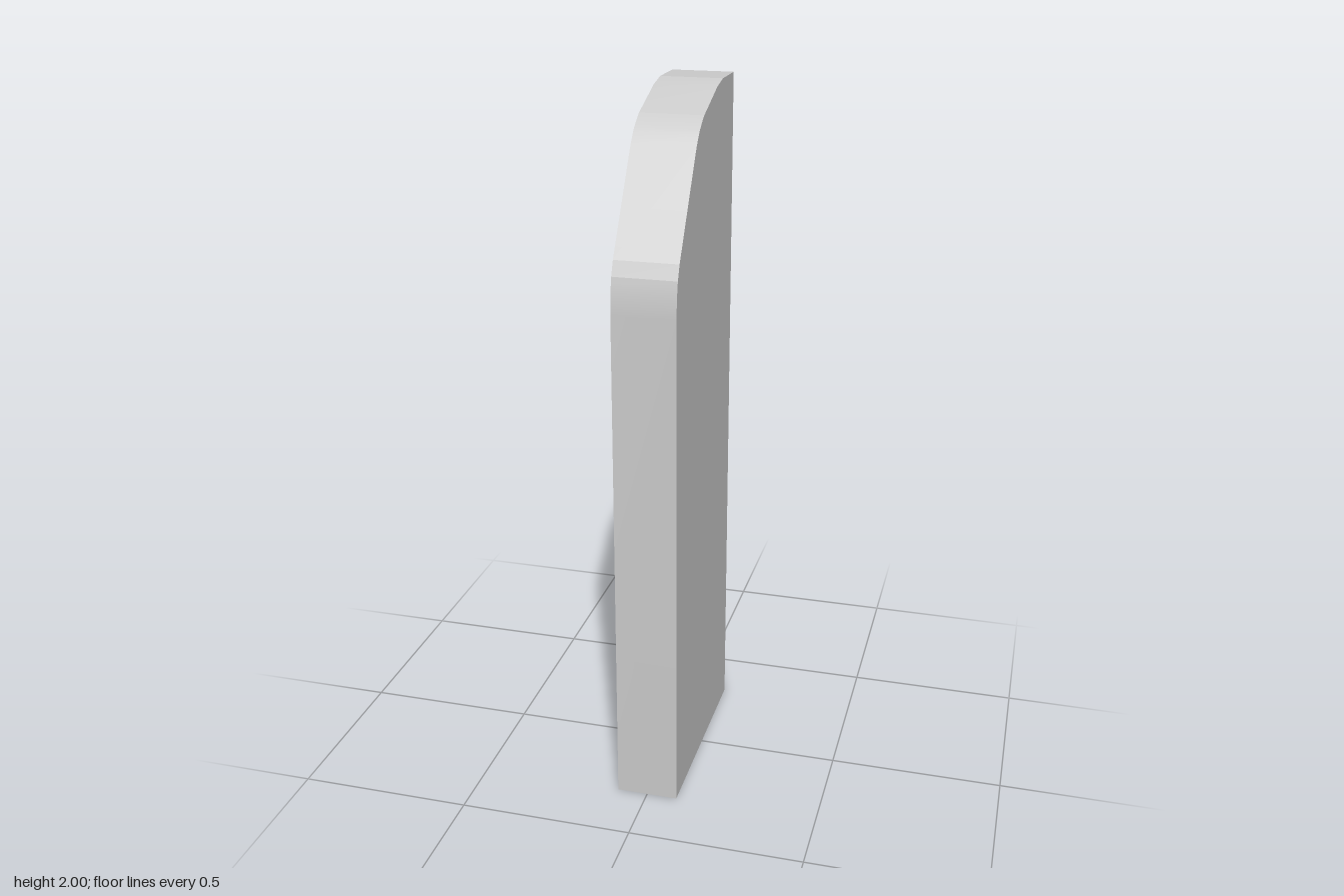
import * as THREE from 'three';
import { toCreasedNormals } from 'three/addons/utils/BufferGeometryUtils.js';

const WIDTH = 0.177;

export function createModel() {
  const group = new THREE.Group();
  group.name = 'panel';

  // Side profile as (z, y): square back, clipped and softened front top
  const shape = new THREE.Shape();
  shape.moveTo(0.31, 0);
  shape.lineTo(0.31, 1.46);
  shape.quadraticCurveTo(0.308, 1.515, 0.297, 1.56);
  shape.lineTo(0.28, 1.6);
  shape.lineTo(0.11, 1.866);
  shape.lineTo(0.085, 1.895);
  shape.quadraticCurveTo(0.06, 1.918, 0.03, 1.934);
  shape.lineTo(-0.115, 1.987);
  shape.lineTo(-0.18, 2);
  shape.lineTo(-0.31, 2);
  shape.lineTo(-0.31, 0);
  shape.closePath();

  // Extrude across the width, then turn the profile to face sideways
  const extruded = new THREE.ExtrudeGeometry(shape, { depth: WIDTH, bevelEnabled: false, curveSegments: 5 });
  extruded.translate(0, 0, -WIDTH / 2);
  extruded.rotateY(-Math.PI / 2);

  const slab = new THREE.Mesh(
    toCreasedNormals(extruded, 0.16),
    new THREE.MeshStandardMaterial({ color: 0xcccccc })
  );
  slab.name = 'slab';
  group.add(slab);
  return group;
}
